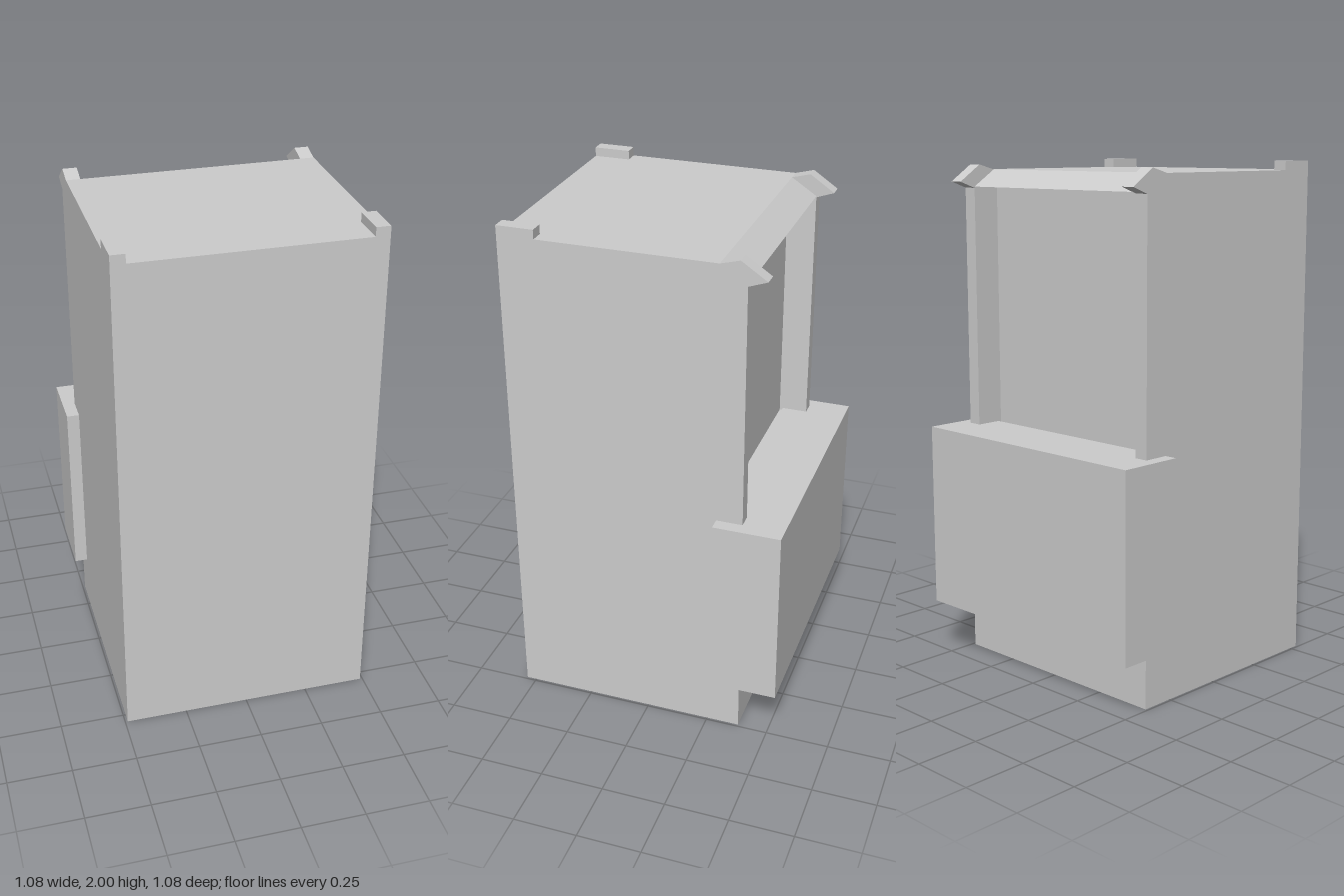
import * as THREE from 'three';

const material = new THREE.MeshStandardMaterial({ color: 0xcccccc, flatShading: true });

// Extrudes a side profile of [z, y] points across x, from xMin to xMax
function sideExtrusion(name, profile, xMin, xMax) {
  const shape = new THREE.Shape(profile.map(([z, y]) => new THREE.Vector2(z, y)));
  const geometry = new THREE.ExtrudeGeometry(shape, { depth: xMax - xMin, bevelEnabled: false });
  geometry.rotateY(-Math.PI / 2).translate(xMax, 0, 0);
  const mesh = new THREE.Mesh(geometry, material);
  mesh.name = name;
  return mesh;
}

export function createModel() {
  const model = new THREE.Group();
  model.name = 'cabinet';

  const inner = 0.435, outer = 0.49;
  const front = 0.54, back = -0.38, recess = -0.265, roof = 1.965;

  // Main body with a sloped rear roof edge and a recessed upper back
  model.add(sideExtrusion('body', [
    [front, 0], [back, 0], [back, 0.94], [recess, 0.94], [recess, 1.9],
    [back, 1.9], [-0.28, roof], [front, roof],
  ], -inner, inner));

  // Side walls, each with a raised front tab and a slanted rear cap
  const wall = [
    [front, 0], [back, 0], [back, 1.895], [-0.45, 1.92], [-0.353, 1.985],
    [-0.28, roof], [0.397, roof], [0.397, 2], [front, 2],
  ];
  model.add(sideExtrusion('rightWall', wall, -outer, -inner));
  model.add(sideExtrusion('leftWall', wall, inner, outer));

  // Wide box wrapped around the lower back
  const box = new THREE.Mesh(new THREE.BoxGeometry(1.08, 0.73, 0.262), material);
  box.name = 'rearBox';
  box.position.set(0, 0.585, -0.409);
  model.add(box);

  return model;
}
